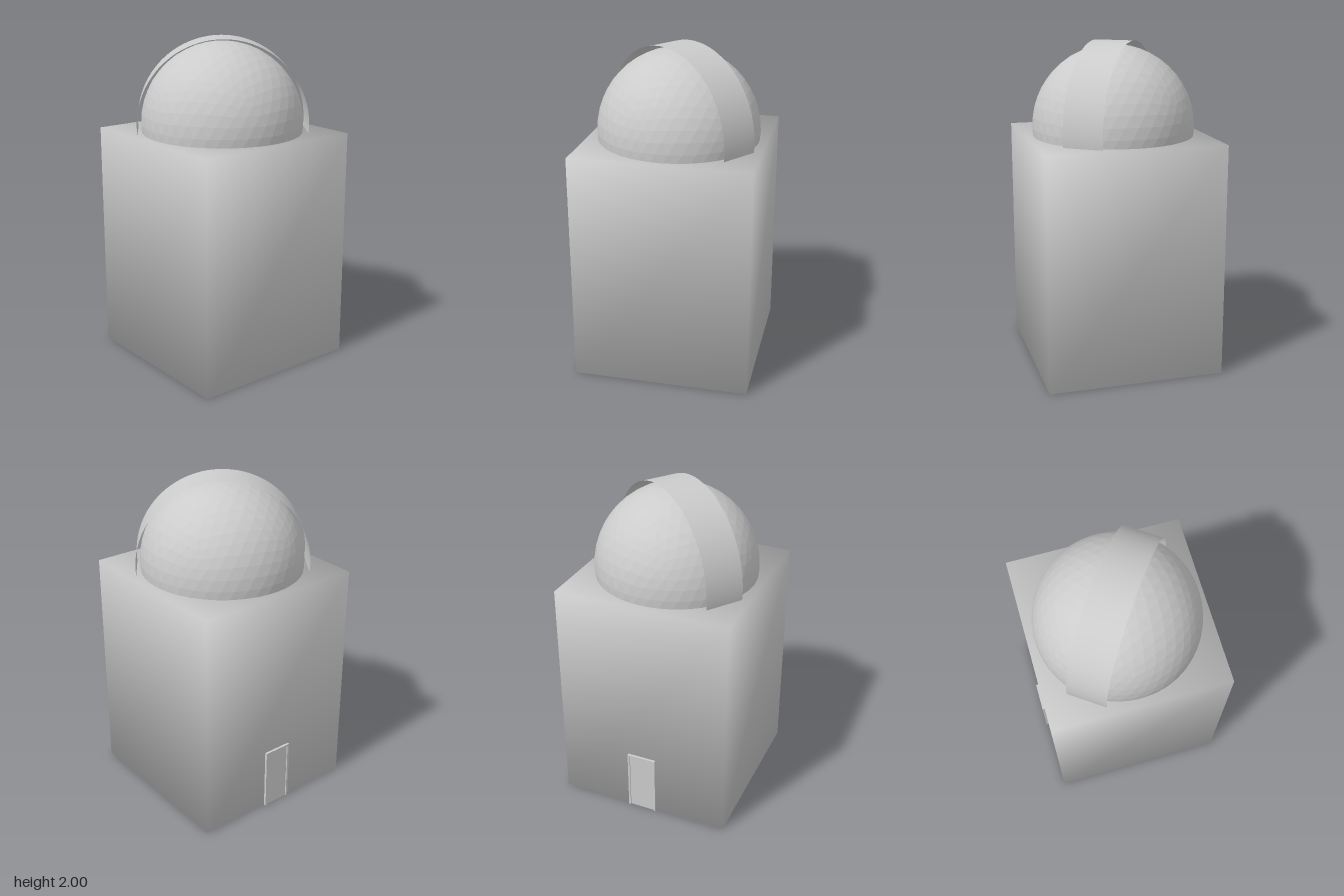
import * as THREE from 'three';
import { mergeVertices } from 'three/addons/utils/BufferGeometryUtils.js';

const SIDE = 1.083, WALL = 1.43, CENTRE = 1.48;

export function createModel() {
  const model = new THREE.Group();
  const grey = new THREE.MeshStandardMaterial({ color: 0xcccccc });
  const faceted = new THREE.MeshStandardMaterial({ color: 0xcccccc, flatShading: true });
  const open = new THREE.MeshStandardMaterial({ color: 0xcccccc, side: THREE.DoubleSide });

  function add(parent, name, geometry, material, x = 0, y = 0, z = 0) {
    const mesh = new THREE.Mesh(geometry, material);
    mesh.name = name;
    mesh.position.set(x, y, z);
    parent.add(mesh);
    return mesh;
  }

  // Building, turned about the vertical axis
  const building = new THREE.Group();
  building.name = 'building';
  building.rotation.y = 0.3685;
  model.add(building);

  // Tower block with corner normals shared between its faces
  let block = new THREE.BoxGeometry(SIDE, WALL, SIDE);
  block.deleteAttribute('normal');
  block.deleteAttribute('uv');
  block = mergeVertices(block);
  const normals = [];
  const p = block.attributes.position;
  for (let i = 0; i < p.count; i++) {
    normals.push(...[p.getX(i), p.getY(i), p.getZ(i)].map((v) => Math.sign(v) / Math.sqrt(3)));
  }
  block.setAttribute('normal', new THREE.Float32BufferAttribute(normals, 3));
  add(building, 'towerBlock', block, grey, 0, WALL / 2, 0);

  // Door with a slim raised frame in the middle of the back wall
  const W = 0.183, H = 0.39, T = 0.013, back = -SIDE / 2;
  add(building, 'door', new THREE.BoxGeometry(W - 2 * T, H - T, 0.016), grey, 0, (H - T) / 2, back);
  for (const s of [-1, 1]) {
    add(building, 'doorPost', new THREE.BoxGeometry(T, H, 0.03), grey, s * (W - T) / 2, H / 2, back);
  }
  add(building, 'doorLintel', new THREE.BoxGeometry(W - 2 * T, T, 0.03), grey, 0, H - T / 2, back);

  // Faceted dome, with a vertex of the icosphere at its top
  const dome = new THREE.IcosahedronGeometry(0.497, 7);
  dome.rotateX(-Math.atan((1 + Math.sqrt(5)) / 2));
  add(model, 'dome', dome, faceted, 0, CENTRE, 0);

  // Curved shutter band arching over the dome down to the roof
  const R = 0.52, extra = Math.asin((CENTRE - WALL) / R);
  const band = new THREE.CylinderGeometry(R, R, 0.243, 64, 1, true,
    -Math.PI / 2 - extra, Math.PI + 2 * extra);
  band.rotateX(-Math.PI / 2);
  add(model, 'shutterBand', band, open, 0, CENTRE, 0).rotation.y = -0.248;

  return model;
}
